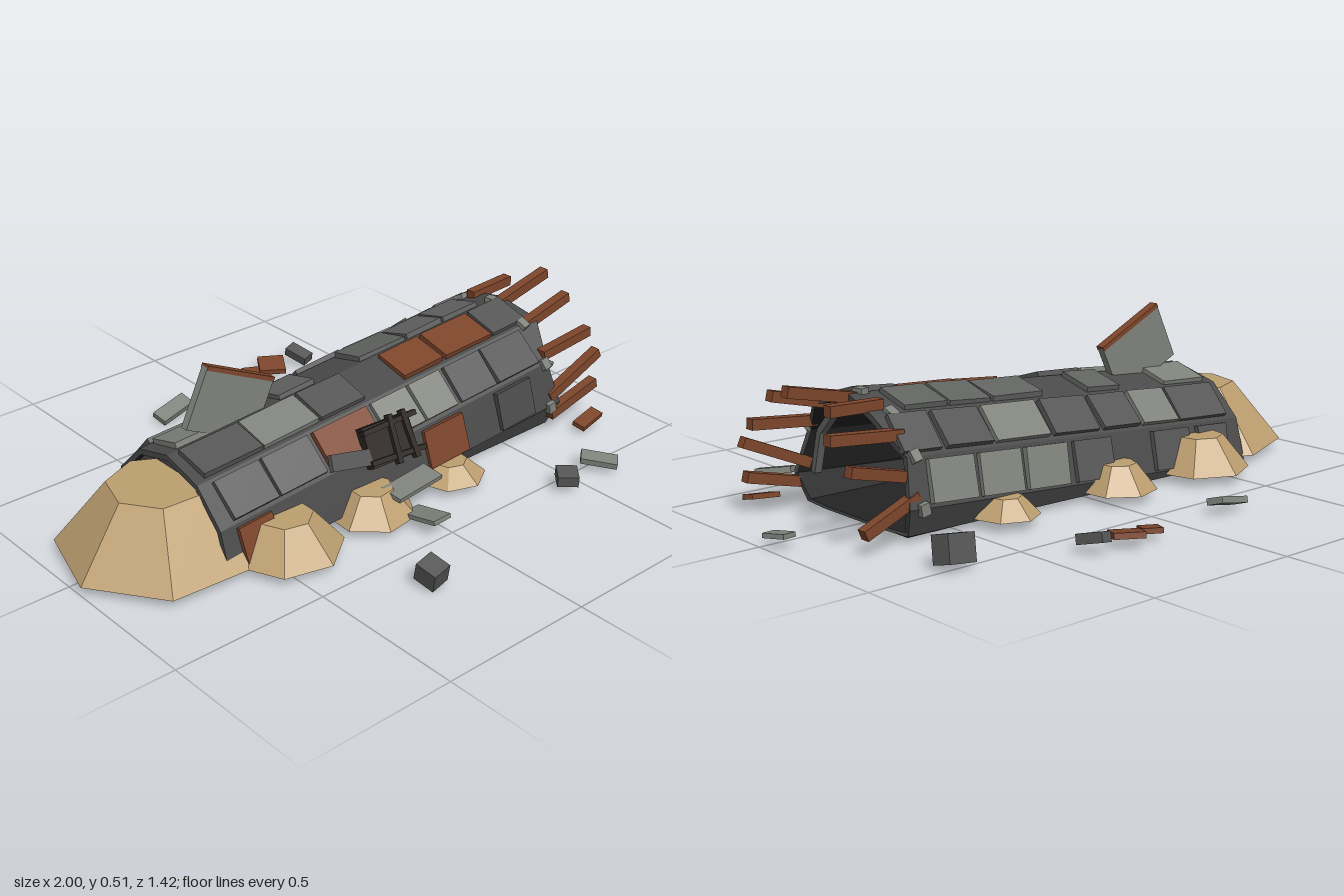
import * as THREE from 'three';

const STEEL = 0x555655, DARK = 0x4a4b4a, MID = 0x626462, LIGHT = 0x80837c, RUST = 0x7d452b, SAND = 0xbd9f70, BLACK = 0x2a2421, LINER = 0x222322;
const R = 0.28, INNER = 0.262, BASE = 0.056, SLOPE = 0.07, FLOOR = 0.02, STEP = Math.PI / 6;

const material = (color) => new THREE.MeshStandardMaterial({ color, flatShading: true, side: THREE.DoubleSide });

function add(parent, name, geometry, color, position = [0, 0, 0], rotation = [0, 0, 0]) {
  const mesh = new THREE.Mesh(geometry, material(color));
  mesh.name = name;
  mesh.position.set(...position);
  mesh.rotation.set(...rotation);
  parent.add(mesh);
  return mesh;
}

const box = (parent, name, size, color, position, rotation) =>
  add(parent, name, new THREE.BoxGeometry(...size), color, position, rotation);

// Square beam between two points
function beam(parent, name, from, to, size, color) {
  const a = new THREE.Vector3(...from), b = new THREE.Vector3(...to);
  const mesh = box(parent, name, [size, size, a.distanceTo(b)], color, a.clone().lerp(b, 0.5).toArray());
  mesh.lookAt(b);
}

// Point on the tilted twelve-sided tube, flattened where it meets the ground
function tubePoint(x, angle, r) {
  const y = BASE + SLOPE * x + r * Math.sin(angle);
  return [x, Math.max(FLOOR + (R - r) * 0.5, y), r * Math.cos(angle)];
}

// Tube cross-section; the open end is ragged
function tubeRing(open, r) {
  const jag = [0.7, 0.67, 0.72, 0.7, 0.72, 0.68, 0.7, 0.68, 0.69, 0.69, 0.69, 0.68];
  return jag.map((x, k) => tubePoint(open ? x : -0.65, k * STEP, r));
}

// Band of facets joining two rings
function band(a, b) {
  const pos = [];
  a.forEach((p, i) => {
    const j = (i + 1) % a.length;
    pos.push(...p, ...b[i], ...b[j], ...p, ...b[j], ...a[j]);
  });
  const g = new THREE.BufferGeometry();
  g.setAttribute('position', new THREE.Float32BufferAttribute(pos, 3));
  g.computeVertexNormals();
  return g;
}

export function createModel() {
  const model = new THREE.Group();
  model.name = 'wreckedHull';

  // Shell, dark lining and the rims between them
  const [outerFar, outerOpen] = [tubeRing(false, R), tubeRing(true, R)];
  const [innerFar, innerOpen] = [tubeRing(false, INNER), tubeRing(true, INNER)];
  add(model, 'hullShell', band(outerFar, outerOpen), DARK);
  add(model, 'hullLining', band(innerFar, innerOpen), LINER);
  add(model, 'farRim', band(outerFar, innerFar), DARK);
  add(model, 'openRim', band(outerOpen, innerOpen), DARK);

  // Dark tapering tear along the underside
  const tear = new THREE.Shape([[0.68, -0.24], [0.68, 0.18], [-0.6, -0.24]].map((p) => new THREE.Vector2(...p)));
  add(model, 'undersideTear', new THREE.ShapeGeometry(tear), LINER, [0, FLOOR - 0.003, 0], [Math.PI / 2, 0, 0]);

  // Closed far end
  const wall = new THREE.Shape();
  for (let k = 0; k <= 6; k++) {
    const [, y, z] = tubePoint(-0.62, k * STEP, INNER);
    if (k) wall.lineTo(-z, y); else wall.moveTo(-z, y);
  }
  add(model, 'endWall', new THREE.ShapeGeometry(wall), DARK, [-0.62, 0, 0], [0, Math.PI / 2, 0]);

  // Plating: per facet row, [x start, x end, colour]
  const plating = [
    [[-0.59, -0.47, RUST], [0.12, 0.28, RUST], [0.43, 0.58, DARK]],
    [[-0.59, -0.43, STEEL], [-0.42, -0.25, STEEL], [-0.23, -0.02, RUST], [0, 0.14, LIGHT], [0.15, 0.28, LIGHT],
      [0.3, 0.45, STEEL], [0.46, 0.64, STEEL]],
    [[-0.6, -0.39, STEEL], [-0.385, -0.18, LIGHT], [-0.17, 0, STEEL], [0.165, 0.325, RUST], [0.34, 0.54, RUST], [0.55, 0.69, STEEL]],
    [[-0.59, -0.41, LIGHT], [-0.21, -0.075, MID], [0.11, 0.3, MID], [0.31, 0.46, MID], [0.47, 0.62, MID]],
    [[-0.59, -0.38, STEEL], [-0.37, -0.215, LIGHT], [-0.2, -0.05, STEEL], [-0.03, 0.15, STEEL], [0.17, 0.37, LIGHT],
      [0.385, 0.55, STEEL], [0.57, 0.7, STEEL]],
    [[-0.57, -0.44, STEEL], [-0.4, -0.24, STEEL], [-0.06, 0.09, STEEL], [0.12, 0.28, LIGHT], [0.3, 0.45, LIGHT], [0.47, 0.63, LIGHT]],
  ];
  const tilted = new THREE.Group();
  tilted.name = 'hullPlating';
  tilted.position.y = BASE;
  tilted.rotation.z = Math.atan(SLOPE);
  model.add(tilted);
  plating.forEach((row, k) => {
    const a = (k + 0.5) * STEP, d = R * Math.cos(STEP / 2) + 0.006;
    row.forEach(([x0, x1, color], i) => {
      box(tilted, 'hullPlate', [x1 - x0, 0.018, 0.122], color,
        [(x0 + x1) / 2, d * Math.sin(a), d * Math.cos(a)],
        [Math.PI / 2 - a + 0.03 * ((i % 3) - 1), 0, 0.015 * ((i % 2) * 2 - 1)]);
    });
  });

  // Rib and its clips just inside the ragged end
  for (let k = 0; k < 6; k++) {
    beam(model, 'endRib', tubePoint(0.64, k * STEP, 0.255), tubePoint(0.64, (k + 1) * STEP, 0.255), 0.025, MID);
  }
  for (let k = 0; k <= 6; k++) {
    box(model, 'ribClip', [0.03, 0.035, 0.025], LIGHT, tubePoint(0.655, k * STEP, R), [-k * STEP, 0, 0.2]);
  }

  // Snapped stringers sticking out of the open end: [x, y, z] to [x, y, z]
  [
    [[0.66, 0.07, 0.272], [0.87, 0.12, 0.272]], [[0.66, 0.13, 0.262], [0.88, 0.225, 0.268]],
    [[0.66, 0.265, 0.222], [0.88, 0.285, 0.222]], [[0.66, 0.33, 0.13], [0.87, 0.38, 0.13]],
    [[0.66, 0.365, 0.01], [0.9, 0.415, 0.005]], [[0.66, 0.365, -0.1], [0.84, 0.37, -0.105]],
    [[0.66, 0.295, -0.19], [0.9, 0.315, -0.19]], [[0.66, 0.185, -0.235], [0.87, 0.235, -0.24]],
    [[0.66, 0.135, -0.258], [0.84, 0.06, -0.258]],
  ].forEach(([a, b]) => beam(model, 'brokenStringer', a, b, 0.032, RUST));

  // Tail fin with a rusty upper edge
  const fin = new THREE.Group();
  fin.name = 'fin';
  fin.position.set(-0.37, 0.452, -0.022);
  fin.rotation.z = -0.45;
  model.add(fin);
  box(fin, 'finPlate', [0.265, 0.19, 0.025], LIGHT, [0, -0.095, 0]);
  box(fin, 'finEdge', [0.265, 0.014, 0.03], RUST, [0, 0, 0]);

  // Torn hatch with a bent frame on the front flank
  const hatch = new THREE.Group();
  hatch.name = 'hatch';
  hatch.position.set(-0.03, 0.215, 0.248);
  hatch.rotation.set(-0.5, 0, -0.03);
  model.add(hatch);
  box(hatch, 'hatchOpening', [0.18, 0.125, 0.03], BLACK, [0, 0, 0]);
  for (const s of [-1, 1]) {
    box(hatch, 'hatchRail', [0.21, 0.016, 0.02], BLACK, [0.01, s * 0.05, 0.015], [0, 0, s * 0.04]);
    box(hatch, 'hatchPost', [0.018, 0.15, 0.02], BLACK, [0.04 + s * 0.03, 0, 0.018], [0, 0, s * 0.06]);
  }
  box(model, 'peeledPlate', [0.16, 0.05, 0.015], STEEL, [-0.19, 0.215, 0.265], [-0.5, 0.1, -0.2]);
  box(model, 'fallenPlate', [0.19, 0.014, 0.075], LIGHT, [-0.01, 0.1, 0.335], [0.15, 0.1, 0]);
  box(model, 'fallenPlate', [0.07, 0.014, 0.13], LIGHT, [-0.04, 0.045, 0.43], [-0.2, 0.05, 0]);

  // Sand drifts: x, z, radius, height, turn
  [
    [-0.695, 0.012, 0.309, 0.197, 0.385], [-0.44, 0.265, 0.175, 0.105, 0.2], [-0.125, 0.28, 0.14, 0.08, 0.6],
    [0.2, 0.28, 0.115, 0.05, 0.1], [-0.44, -0.27, 0.162, 0.105, 0.45], [-0.07, -0.285, 0.122, 0.08, 0.3],
    [0.36, -0.275, 0.102, 0.055, 0.5],
  ].forEach(([x, z, r, h, turn]) =>
    add(model, 'sandDrift', new THREE.CylinderGeometry(r * 0.48, r, h, 7), SAND, [x, 0.03 + h / 2, z], [0, turn, 0]));

  // Scattered debris: position, size, turn, lean, colour
  [
    [-0.2, 0.035, -0.61, 0.13, 0.02, 0.055, 0.17, 0.3, LIGHT],
    [0.16, 0.03, -0.65, 0.06, 0.016, 0.06, -0.5, 0.15, RUST],
    [0.25, 0.035, -0.65, 0.09, 0.018, 0.085, -0.55, 0.2, RUST],
    [0.365, 0.045, -0.64, 0.045, 0.03, 0.085, 0.25, 0.25, STEEL],
    [0.72, 0.055, -0.49, 0.095, 0.08, 0.065, 0.1, 0.25, STEEL],
    [0.962, 0.038, -0.04, 0.05, 0.014, 0.075, 0.3, 0.1, LIGHT],
    [0.78, 0.035, 0.335, 0.105, 0.016, 0.045, 0.15, 0.2, RUST],
    [0.44, 0.045, 0.55, 0.065, 0.035, 0.065, -0.7, 0.15, STEEL],
    [0.6, 0.04, 0.54, 0.05, 0.02, 0.115, 0.7, 0.15, LIGHT],
    [-0.24, 0.05, 0.66, 0.065, 0.062, 0.07, 0.15, 0.25, STEEL],
  ].forEach(([x, y, z, w, h, d, turn, lean, color]) =>
    box(model, 'debris', [w, h, d], color, [x, y, z], [lean, turn, lean * 0.5]));

  return model;
}
